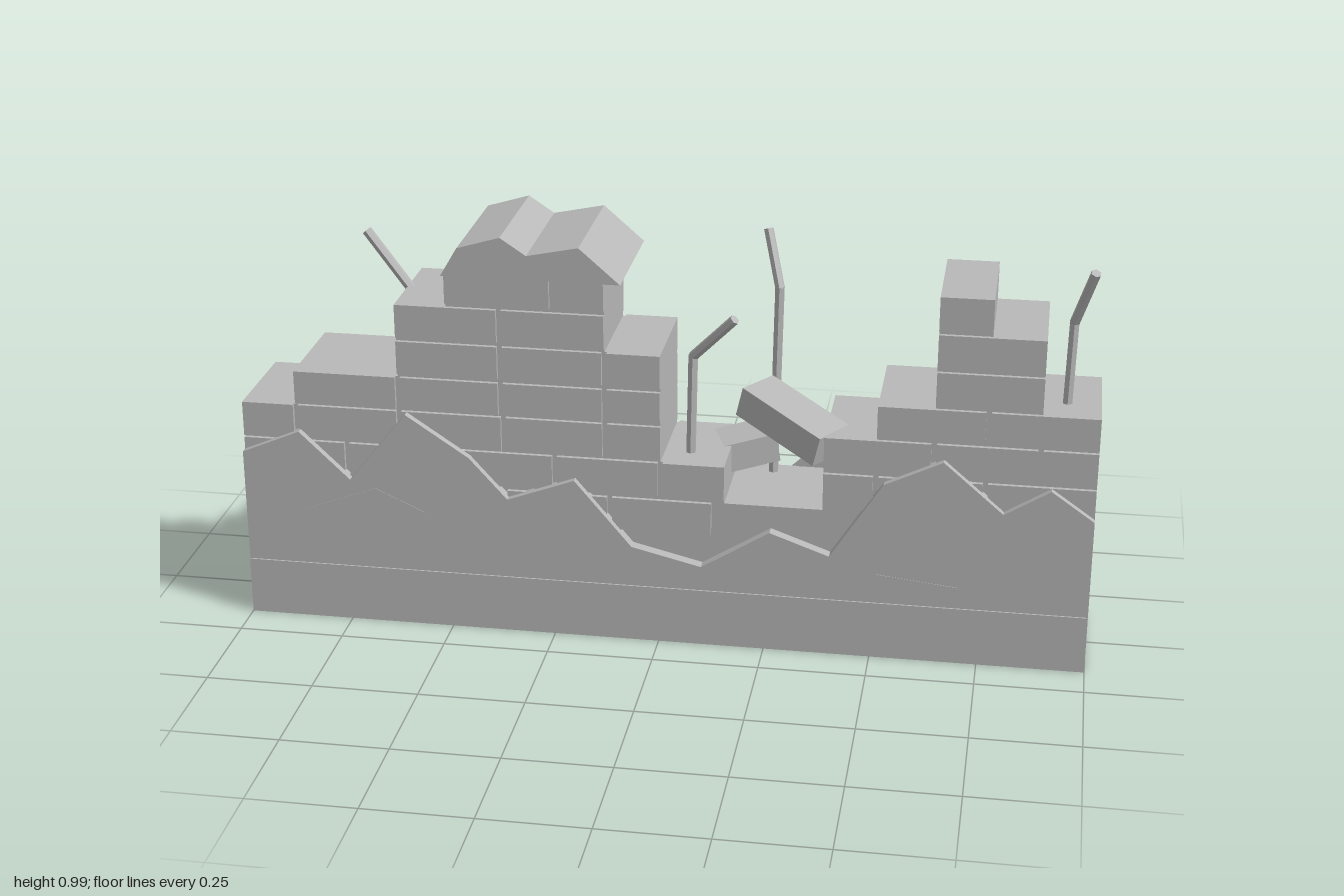
import * as THREE from 'three';

const concrete = new THREE.MeshStandardMaterial({ color: 0xb8b8b8 });
concrete.name = 'grey concrete';

function add(parent, name, geometry) {
  const mesh = new THREE.Mesh(geometry, concrete);
  mesh.name = name;
  parent.add(mesh);
  return mesh;
}

// Box given by its x and y range, symmetric in z
function block(parent, name, x0, x1, y0, y1, halfDepth) {
  const m = add(parent, name, new THREE.BoxGeometry(x1 - x0, y1 - y0, halfDepth * 2));
  m.position.set((x0 + x1) / 2, (y0 + y1) / 2, 0);
  return m;
}

// Outline in x/y pushed out from z0 to z1
function slab(parent, name, points, z0, z1) {
  const shape = new THREE.Shape(points.map(([x, y]) => new THREE.Vector2(x, y)));
  const m = add(parent, name, new THREE.ExtrudeGeometry(shape, { depth: z1 - z0, bevelEnabled: false }));
  m.position.z = z0;
  return m;
}

// Straight six-sided rods joined at the bends
function rebar(parent, name, points) {
  const g = new THREE.Group();
  g.name = name;
  const v = points.map((p) => new THREE.Vector3(...p));
  for (let i = 0; i < v.length - 1; i++) {
    const dir = v[i + 1].clone().sub(v[i]);
    const geo = new THREE.CylinderGeometry(0.012, 0.012, dir.length() + 0.006, 6).toNonIndexed();
    geo.computeVertexNormals();
    const m = add(g, 'rebarRod', geo);
    m.position.copy(v[i]).add(v[i + 1]).multiplyScalar(0.5);
    m.quaternion.setFromUnitVectors(new THREE.Vector3(0, 1, 0), dir.normalize());
  }
  parent.add(g);
}

// Thin crack strips lying on a plaster face
function crack(parent, points, z) {
  for (let i = 0; i < points.length - 1; i++) {
    const [ax, ay] = points[i], [bx, by] = points[i + 1];
    const m = add(parent, 'plasterCrack', new THREE.BoxGeometry(Math.hypot(bx - ax, by - ay), 0.006, 0.002));
    m.position.set((ax + bx) / 2, (ay + by) / 2, z);
    m.rotation.z = Math.atan2(by - ay, bx - ax);
  }
}

export function createModel() {
  const wall = new THREE.Group();
  wall.name = 'ruinedWall';

  // Mortar core in steps: x range and top height
  const steps = [
    [-1, -0.87, 0.54], [-0.87, -0.62, 0.625], [-0.62, -0.5, 0.805], [-0.5, -0.13, 0.895],
    [-0.13, 0, 0.715], [0, 0.15, 0.45], [0.15, 0.38, 0.355], [0.38, 0.5, 0.54],
    [0.5, 0.63, 0.625], [0.63, 0.75, 0.895], [0.75, 0.87, 0.805], [0.87, 1, 0.625],
  ];
  for (const [x0, x1, top] of steps) block(wall, 'mortarCore', x0, x1, 0, top, 0.122);

  // Brick courses: bottom, top, then runs of joint positions
  const courses = [
    [0.275, 0.355, [[-0.87, -0.62, -0.37, -0.12, 0.12]]],
    [0.365, 0.45, [[-1, -0.75, -0.5, -0.25, 0, 0.15], [0.38, 0.5, 0.75, 1]]],
    [0.455, 0.54, [[-1, -0.87, -0.62, -0.37, -0.13, 0], [0.38, 0.63, 0.87, 1]]],
    [0.545, 0.625, [[-0.87, -0.62, -0.375, -0.13, 0], [0.5, 0.75, 1]]],
    [0.635, 0.715, [[-0.62, -0.375, -0.13, 0], [0.63, 0.87]]],
    [0.725, 0.805, [[-0.62, -0.375, -0.13], [0.63, 0.87]]],
    [0.815, 0.895, [[-0.5, -0.25, -0.13], [0.63, 0.75]]],
  ];
  for (const [y0, y1, runs] of courses)
    for (const run of runs)
      for (let i = 0; i < run.length - 1; i++)
        block(wall, 'brick', run[i] + (i ? 0.006 : 0), run[i + 1] - (i < run.length - 2 ? 0.006 : 0), y0, y1, 0.132);

  // Broken plaster skins
  const frontEdge = [
    [-1, 0.42], [-0.86, 0.48], [-0.74, 0.365], [-0.6, 0.54], [-0.45, 0.44], [-0.36, 0.34],
    [-0.2, 0.4], [-0.065, 0.24], [0.1, 0.2], [0.26, 0.3], [0.4, 0.25], [0.52, 0.44],
    [0.655, 0.505], [0.795, 0.385], [0.9, 0.45], [1, 0.38],
  ];
  const backEdge = [
    [-1, 0.41], [-0.82, 0.48], [-0.7, 0.355], [-0.57, 0.54], [-0.39, 0.34], [-0.23, 0.4],
    [-0.1, 0.27], [0.05, 0.22], [0.2, 0.27], [0.38, 0.44], [0.55, 0.44], [0.74, 0.54],
    [0.9, 0.4], [1, 0.42],
  ];
  slab(wall, 'frontPlaster', [[1, 0], [-1, 0], ...frontEdge].reverse(), 0.12, 0.15);
  slab(wall, 'backPlaster', [[1, 0], [-1, 0], ...backEdge].reverse(), -0.15, -0.12);

  // Slightly proud skirting along the foot
  for (const s of [1, -1]) {
    const m = block(wall, 'skirting', -1, 1, 0, 0.14, 0.008);
    m.position.z = s * 0.146;
  }

  // Cracks in the plaster
  crack(wall, [[-0.85, 0.28], [-0.68, 0.344], [-0.56, 0.29], [-0.59, 0.24]], 0.15);
  crack(wall, [[0.51, 0.21], [0.7, 0.19], [0.66, 0.145]], 0.15);
  crack(wall, [[0.69, 0.2], [0.52, 0.21], [0.45, 0.15]], -0.15);
  crack(wall, [[-0.6, 0.3], [-0.73, 0.34], [-0.86, 0.29], [-0.84, 0.22]], -0.15);

  // Jagged coping left on top of the tall pier
  slab(wall, 'coping', [
    [-0.5, 0.892], [-0.085, 0.892], [-0.18, 0.975], [-0.3, 0.95], [-0.36, 0.99], [-0.46, 0.96],
  ], -0.16, 0.16);

  // Loose bricks in the breach
  const upper = add(wall, 'looseBrick', new THREE.BoxGeometry(0.24, 0.075, 0.11));
  upper.position.set(0.295, 0.535, 0.025);
  upper.rotation.set(0, -0.57, -0.27, 'YZX');
  const lower = add(wall, 'looseBrick', new THREE.BoxGeometry(0.2, 0.07, 0.11));
  lower.position.set(0.145, 0.42, -0.055);
  lower.rotation.set(0, 0.35, 0.17, 'YZX');

  // Bent reinforcing bars
  rebar(wall, 'leftRebar', [[-0.61, 0.6, -0.005], [-0.615, 0.8, -0.005], [-0.72, 0.925, -0.03]]);
  rebar(wall, 'breachFrontRebar', [[0.06, 0.4, 0.05], [0.065, 0.69, 0.05], [0.165, 0.8, 0.095]]);
  rebar(wall, 'breachBackRebar', [[0.24, 0.33, -0.085], [0.248, 0.82, -0.085], [0.215, 0.945, -0.13]]);
  rebar(wall, 'rightRebar', [[0.922, 0.58, 0.04], [0.927, 0.82, 0.04], [0.965, 0.96, 0.11]]);
  rebar(wall, 'rebarStub', [[-0.13, 0.66, -0.1], [-0.13, 0.68, -0.138]]);

  return wall;
}
